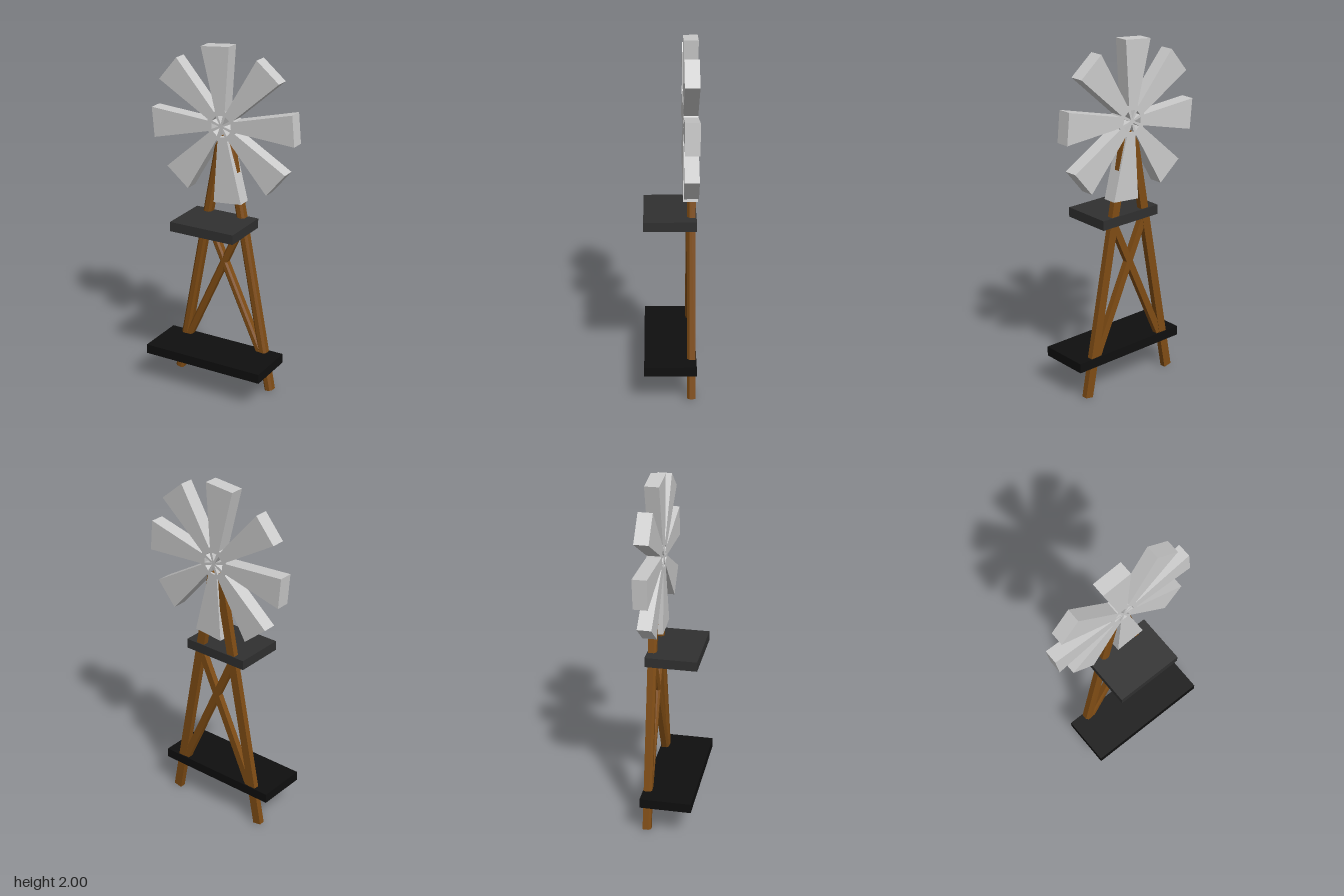
import * as THREE from 'three';

const mat = (color) => new THREE.MeshStandardMaterial({ color, flatShading: true });

export function createModel() {
  const group = new THREE.Group();
  const wood = mat(0x7f4c14);
  const metal = mat(0xcccccc);

  const add = (name, geometry, material) => {
    const mesh = new THREE.Mesh(geometry, material);
    mesh.name = name;
    group.add(mesh);
    return mesh;
  };

  // Timber between two points of the frame plane, front edges chamfered
  const beam = (name, x1, y1, x2, y2, width, depth, z) => {
    const w = width / 2, d = depth / 2, c = width * 0.25;
    const section = new THREE.Shape([
      [-w, d], [-w, -d + c], [-w + c, -d], [w - c, -d], [w, -d + c], [w, d],
    ].map(([x, y]) => new THREE.Vector2(x, y)));
    const length = Math.hypot(x2 - x1, y2 - y1);
    const geometry = new THREE.ExtrudeGeometry(section, { depth: length, bevelEnabled: false });
    geometry.rotateX(-Math.PI / 2); // length along +y, chamfers towards +z
    const mesh = add(name, geometry, wood);
    mesh.position.set(x1, y1, z);
    mesh.rotation.z = -Math.atan2(x2 - x1, y2 - y1);
  };

  // Leaning legs and crossed braces
  for (const [side, s] of [['left', 1], ['right', -1]]) {
    beam(side + 'Leg', 0.3 * s, 0.004, 0.02 * s, 1.5, 0.05, 0.046, -0.115);
    beam(side + 'Brace', 0.245 * s, 0.21, -0.115 * s, 1.0, 0.04, 0.042, -0.115);
  }

  // Platforms reaching forward from the frame
  const platform = (name, width, y, color) => {
    add(name, new THREE.BoxGeometry(width, 0.055, 0.29), mat(color)).position.set(0, y, 0.002);
  };
  platform('lowerPlatform', 0.735, 0.21, 0x0f0f0f);
  platform('upperPlatform', 0.395, 1.008, 0x303030);

  // Rotor: eight flared blades around a hub pierced by wedges
  const outline = [], holes = [];
  const at = (angle, r, t) => new THREE.Vector2(
    r * Math.cos(angle) - t * Math.sin(angle),
    r * Math.sin(angle) + t * Math.cos(angle));
  for (let i = 0; i < 8; i++) {
    const a = (i * Math.PI) / 4 + 0.092;
    outline.push(at(a, 0.083, -0.03), at(a, 0.439, -0.087), at(a, 0.439, 0.087), at(a, 0.083, 0.03));
    holes.push(new THREE.Path([at(a, 0.014, 0), at(a, 0.06, 0.016), at(a, 0.06, -0.016)]));
  }
  const rotorShape = new THREE.Shape(outline);
  rotorShape.holes = holes;
  const rotor = add('rotor',
    new THREE.ExtrudeGeometry(rotorShape, { depth: 0.079, bevelEnabled: false }), metal);
  rotor.position.set(0, 1.555, -0.149);

  return group;
}
